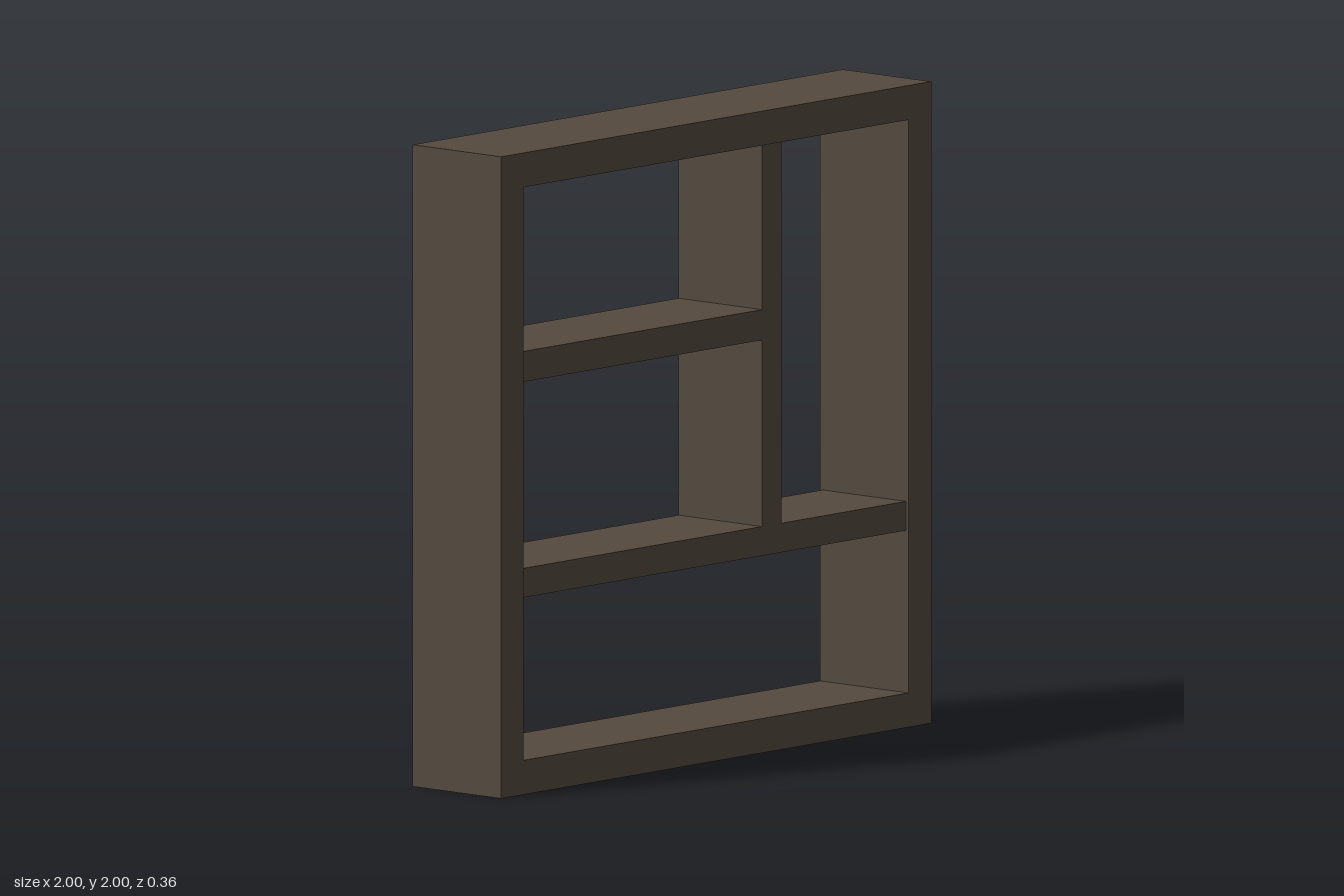
import * as THREE from 'three';

const DEPTH = 0.363;
const INNER_DEPTH = 0.343; // inner boards sit slightly behind the frame edges

export function createModel() {
  const group = new THREE.Group();
  const wood = new THREE.MeshStandardMaterial({ color: 0x54493e });

  // Outer frame: one square with a single opening
  const left = -0.896, right = 0.894, bottom = 0.107, top = 1.893;
  const outline = new THREE.Shape([[-1, 0], [1, 0], [1, 2], [-1, 2]].map(([x, y]) => new THREE.Vector2(x, y)));
  outline.holes.push(new THREE.Path(
    [[left, bottom], [left, top], [right, top], [right, bottom]].map(([x, y]) => new THREE.Vector2(x, y))));
  const frameGeometry = new THREE.ExtrudeGeometry(outline, { depth: DEPTH, bevelEnabled: false });
  frameGeometry.translate(0, 0, -DEPTH / 2);
  const frame = new THREE.Mesh(frameGeometry, wood);
  frame.name = 'outerFrame';
  group.add(frame);

  // Inner board given by its edges as seen from the front
  const board = (name, x0, x1, y0, y1) => {
    const mesh = new THREE.Mesh(new THREE.BoxGeometry(x1 - x0, y1 - y0, INNER_DEPTH), wood);
    mesh.position.set((x0 + x1) / 2, (y0 + y1) / 2, 0);
    mesh.name = name;
    group.add(mesh);
  };
  board('lowerShelf', left, right, 0.612, 0.703);
  board('upperShelf', left, 0.225, 1.284, 1.379);
  board('divider', 0.225, 0.316, 0.703, top);

  return group;
}
